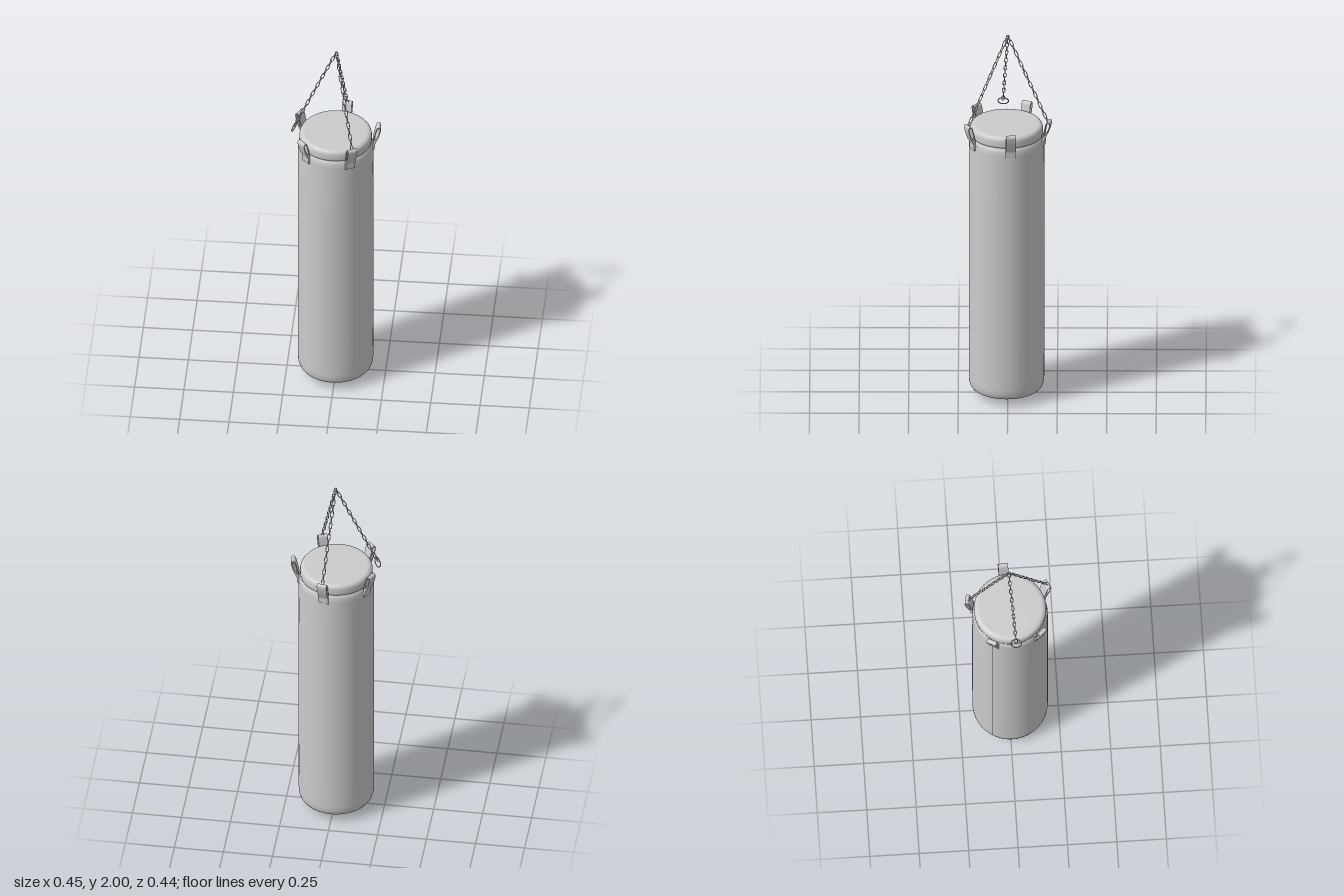
import * as THREE from 'three';

const material = new THREE.MeshStandardMaterial({ color: 0xcccccc, side: THREE.DoubleSide });
const rad = THREE.MathUtils.degToRad;
const vec2s = (pts) => pts.map(([x, y]) => new THREE.Vector2(x, y));

function addMesh(parent, name, geometry) {
  const mesh = new THREE.Mesh(geometry, material);
  mesh.name = name;
  parent.add(mesh);
  return mesh;
}

// One oval chain link, long axis along y, lying in the xy plane
function linkGeometry(halfWidth, halfLength, wire) {
  const pts = [];
  for (let i = 0; i < 12; i++) {
    const a = (i / 12) * Math.PI * 2;
    const straight = Math.sign(Math.round(Math.sin(a) * 100)) * (halfLength - halfWidth);
    pts.push(new THREE.Vector3(Math.cos(a) * halfWidth, Math.sin(a) * halfWidth + straight, 0));
  }
  return new THREE.TubeGeometry(new THREE.CatmullRomCurve3(pts, true), 24, wire, 6, true);
}

// Chain of links turned alternately by a quarter turn
function makeChain(start, end, count) {
  const chain = new THREE.Group();
  chain.name = 'chain';
  const along = end.clone().sub(start);
  const pitch = along.length() / count;
  const dir = along.clone().normalize();
  const side = new THREE.Vector3(0, 1, 0).cross(dir).normalize();
  const basis = new THREE.Matrix4().makeBasis(side, dir, side.clone().cross(dir));
  const geometry = linkGeometry(0.0068, pitch / 2 + 0.002, 0.002);
  for (let i = 0; i < count; i++) {
    const link = addMesh(chain, 'chainLink', geometry);
    link.quaternion.setFromRotationMatrix(basis);
    link.rotateY((i % 2) * Math.PI / 2);
    link.position.lerpVectors(start, end, (i + 0.5) / count);
  }
  return chain;
}

// Folded strap in profile: flat tail on the bag, leaning loop above
function strapGeometry() {
  const shape = new THREE.Shape();
  shape.moveTo(0.187, 1.4);
  shape.lineTo(0.196, 1.4);
  shape.lineTo(0.198, 1.435);
  shape.quadraticCurveTo(0.222, 1.48, 0.228, 1.52);
  shape.quadraticCurveTo(0.229, 1.536, 0.218, 1.537);
  shape.quadraticCurveTo(0.208, 1.537, 0.204, 1.522);
  shape.quadraticCurveTo(0.194, 1.48, 0.188, 1.45);
  shape.closePath();
  const hole = new THREE.Path();
  hole.moveTo(0.196, 1.455);
  hole.quadraticCurveTo(0.2, 1.49, 0.208, 1.52);
  hole.quadraticCurveTo(0.212, 1.532, 0.218, 1.532);
  hole.quadraticCurveTo(0.225, 1.53, 0.223, 1.518);
  hole.quadraticCurveTo(0.217, 1.483, 0.196, 1.455);
  shape.holes.push(hole);
  const width = 0.05;
  return new THREE.ExtrudeGeometry(shape, { depth: width, bevelEnabled: false, curveSegments: 8 })
    .translate(0, 0, -width / 2);
}

export function createModel() {
  const model = new THREE.Group();
  model.name = 'hangingBag';

  // Bag with its collar and straps, slightly off the hanging axis
  const bag = new THREE.Group();
  bag.name = 'bag';
  bag.position.set(-0.003, 0, 0.006);
  model.add(bag);

  // Inner bag: domed base, side and base edge
  addMesh(bag, 'bagCore', new THREE.LatheGeometry(vec2s([
    [0, 0], [0.04, 0.003], [0.09, 0.014], [0.14, 0.028], [0.172, 0.041], [0.181, 0.052],
    [0.187, 0.07], [0.188, 0.1], [0.188, 1.41], [0.185, 1.435], [0.178, 1.45],
  ]), 64));

  // Collar and flat lid with a rounded rim
  addMesh(bag, 'collar', new THREE.LatheGeometry(vec2s([
    [0.176, 1.448], [0.182, 1.45], [0.183, 1.46], [0.183, 1.482], [0.181, 1.493],
    [0.175, 1.501], [0.165, 1.505], [0.155, 1.506], [0, 1.506],
  ]), 64));

  // Four outer panels with narrow seams between them
  const panelProfile = vec2s([
    [0.17, 0.041], [0.177, 0.044], [0.184, 0.054], [0.189, 0.072], [0.1905, 0.1],
    [0.191, 0.4], [0.191, 1.1], [0.1905, 1.405], [0.188, 1.428], [0.184, 1.44], [0.178, 1.446],
  ]);
  const seams = [36, 123, 212, 306, 396];
  const gap = 0.5;
  for (let i = 0; i < 4; i++) {
    const sweep = seams[i + 1] - seams[i] - gap * 2;
    addMesh(bag, 'sidePanel', new THREE.LatheGeometry(
      panelProfile, 18, rad(90 - seams[i + 1] + gap), rad(sweep)));
  }

  // Five folded straps around the rim
  const strap = strapGeometry();
  for (let i = 0; i < 5; i++) {
    addMesh(bag, 'strap', strap).rotation.y = rad(6 + 72.8 * i);
  }

  // Three chains meeting at the hanging point
  const apex = new THREE.Vector3(0, 1.996, 0);
  const ends = [[0.039, 1.525, -0.205], [0.099, 1.525, 0.203], [-0.212, 1.535, 0.025]];
  ends.forEach((p) => model.add(makeChain(new THREE.Vector3(...p), apex, 17)));

  // Open ring at the foot of the free chain
  const ring = addMesh(model, 'ring', new THREE.TorusGeometry(0.0265, 0.0028, 8, 32));
  ring.position.set(-0.211, 1.53, 0.024);
  ring.lookAt(ring.position.clone().add(new THREE.Vector3(0.87, -0.5, 0.05)));

  return model;
}
